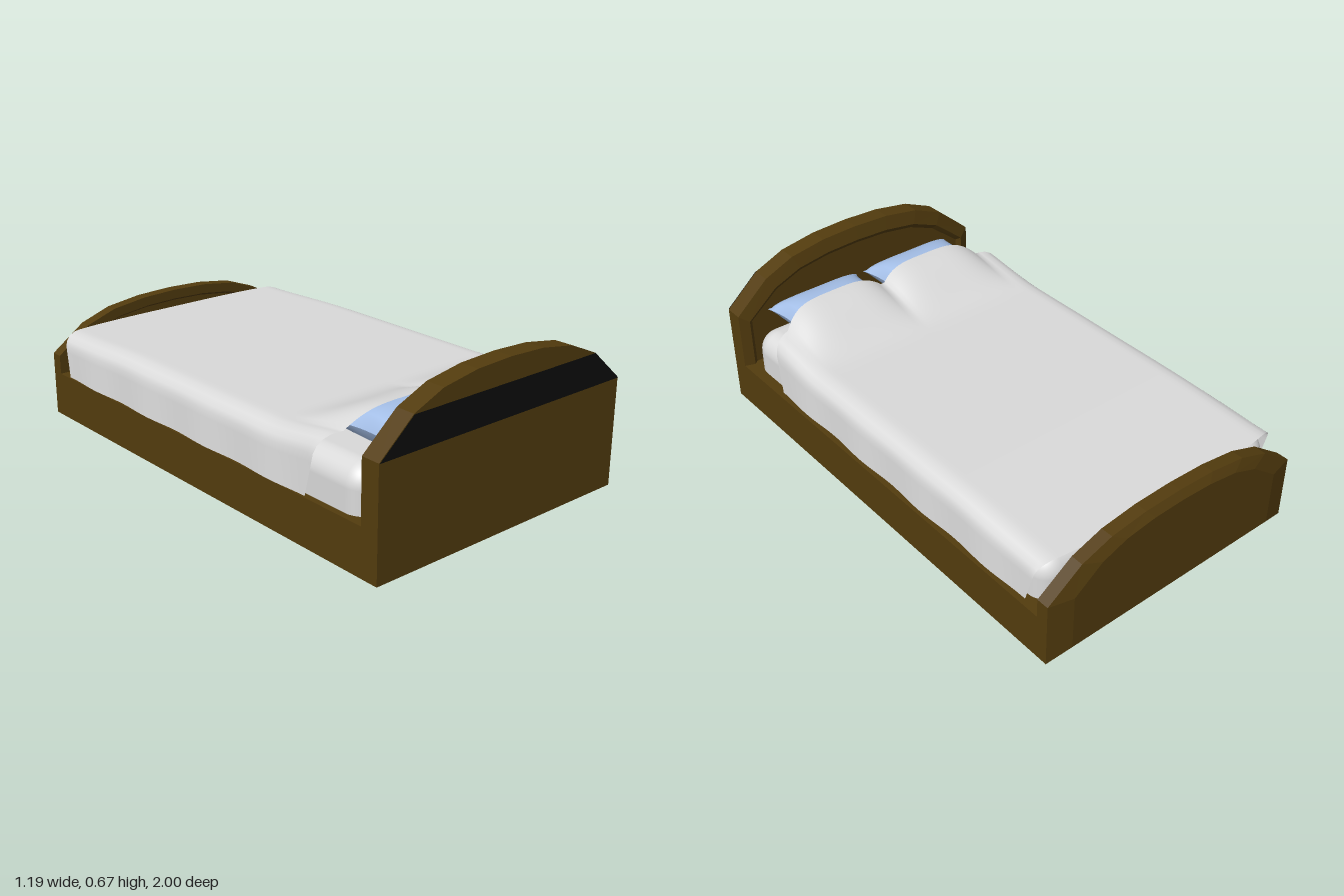
import * as THREE from 'three';
import { RoundedBoxGeometry } from 'three/addons/geometries/RoundedBoxGeometry.js';

const CX = 0.01; // centre line of the bed frame

const makeMaterial = (name, color, side = THREE.FrontSide) => {
  const m = new THREE.MeshStandardMaterial({ color, side });
  m.name = name;
  return m;
};

// Arched outline, counter-clockwise; height runs 0..1, shoulder = height of the straight sides
function archOutline(shoulder) {
  const arch = [[0.59, 0], [0.445, 0.59], [0.315, 0.85], [0.16, 0.97]]
    .map(([x, k]) => [x, shoulder + (1 - shoulder) * k]);
  const right = [[0.59, 0], ...arch];
  return [...right, [0, 1], ...right.slice().reverse().map(([x, y]) => [-x, y])];
}

// Faceted solid lofted through rings [z, width scale, bottom y, top y], in order of z
function archedBoard(outline, rings) {
  const n = outline.length, pos = [];
  const pts = rings.map(([z, k, y0, y1]) =>
    outline.map(([x, y]) => [CX + x * k, y0 + y * (y1 - y0), z]));
  const tri = (...v) => v.forEach((p) => pos.push(...p));
  for (let r = 0; r < pts.length - 1; r++) {
    for (let j = 0; j < n; j++) {
      const k = (j + 1) % n;
      const a = pts[r][j], b = pts[r][k], c = pts[r + 1][k], d = pts[r + 1][j];
      tri(a, b, c);
      tri(a, c, d);
    }
  }
  const first = pts[0], last = pts[pts.length - 1];
  for (let j = 1; j < n - 1; j++) {
    tri(first[0], first[j + 1], first[j]);
    tri(last[0], last[j], last[j + 1]);
  }
  const g = new THREE.BufferGeometry();
  g.setAttribute('position', new THREE.Float32BufferAttribute(pos, 3));
  g.computeVertexNormals();
  return g;
}

// Smooth grid surface; fn(u, v) returns [x, y, z] with u and v in 0..1
function gridSurface(nu, nv, fn) {
  const pos = [], index = [];
  for (let j = 0; j <= nv; j++) {
    for (let i = 0; i <= nu; i++) {
      pos.push(...fn(i / nu, j / nv));
      if (i < nu && j < nv) {
        const a = j * (nu + 1) + i, b = a + nu + 1;
        index.push(a, b, a + 1, a + 1, b, b + 1);
      }
    }
  }
  const g = new THREE.BufferGeometry();
  g.setAttribute('position', new THREE.Float32BufferAttribute(pos, 3));
  g.setIndex(index);
  g.computeVertexNormals();
  return g;
}

// Blanket: flat top, rounded shoulders, hanging sides, raised over both pillows
function blanketPoint(u, v) {
  const s = u * 2 - 1, t = Math.abs(s), sign = Math.sign(s);
  let x = (t / 0.76) * 0.5, drop = 0;
  if (t > 0.76) {
    const a = (t - 0.76) / 0.24;
    const angle = Math.min(a / 0.45, 1) * Math.PI / 2;
    const hang = Math.max(0, (a - 0.45) / 0.55);
    x = 0.5 + 0.075 * Math.sin(angle) + 0.01 * hang;
    drop = 0.06 * (1 - Math.cos(angle)) + 0.13 * hang;
  }
  x *= sign;
  const fall = drop / 0.19;
  const across = Math.min(1, Math.abs(Math.abs(x - CX) - 0.235) / 0.25);
  const puff = 1 - across ** 4;
  const head = 0.73 + 0.03 * puff - 0.04 * Math.abs(x / 0.58) ** 6 - 0.04 * fall;
  const foot = -0.925 + 0.035 * (x / 0.58) ** 4 + 0.04 * fall;
  const z = foot + (head - foot) * v;
  const rise = 0.11 * THREE.MathUtils.smoothstep(z, 0.4, 0.78) * (0.35 + 0.65 * puff);
  const sag = 0.015 * THREE.MathUtils.smoothstep(-z, 0.4, 0.92);
  const ripple = 0.004 * Math.sin(z * 17) * fall;
  return [x + ripple * sign, 0.412 - drop + (rise - sag) * (1 - fall), z];
}

// Pillow half: cushion with pinched sides, side = 1 for the top, -1 for the bottom
function pillowHalf(side) {
  return gridSurface(24, 18, (u, v) => {
    const a = (u * 2 - 1) * side, b = v * 2 - 1;
    const h = 0.066 * Math.sqrt(Math.max(0, (1 - a ** 4) * (1 - b * b)));
    return [a * (0.22 - 0.025 * (1 - b * b)), h * side, b * (0.14 - 0.01 * (1 - a * a))];
  });
}

export function createModel() {
  const bed = new THREE.Group();
  bed.name = 'bed';
  const wood = makeMaterial('dark wood', 0x533c0e);
  const black = makeMaterial('black', 0x0c0c0c, THREE.DoubleSide);
  const cloth = makeMaterial('white cloth', 0xdadada, THREE.DoubleSide);
  const blue = makeMaterial('pale blue', 0xa6c1ea, THREE.DoubleSide);

  const add = (name, geometry, material, x = 0, y = 0, z = 0, parent = bed) => {
    const mesh = new THREE.Mesh(geometry, material);
    mesh.name = name;
    mesh.position.set(x, y, z);
    parent.add(mesh);
    return mesh;
  };

  // Frame
  add('bedBase', new THREE.BoxGeometry(1.18, 0.185, 1.92), wood, CX, 0.1225, 0.01);
  add('headboard', archedBoard(archOutline(0.667), [
    [0.92, 0.9, 0.06, 0.59], [0.905, 0.93, 0.05, 0.61],
    [0.92, 1, 0.03, 0.668], [0.997, 1, 0.03, 0.668],
  ]), wood);
  add('footboard', archedBoard(archOutline(0.6), [
    [-1, 0.83, 0.06, 0.44], [-0.98, 1, 0.03, 0.47], [-0.93, 1, 0.03, 0.47],
    [-0.93, 0.92, 0.05, 0.43], [-0.945, 0.9, 0.06, 0.42],
  ]), wood);

  // Black band on the outside of the headboard
  const band = new THREE.Shape([[-0.59, 0.455], [0.59, 0.455], [0.445, 0.58], [-0.445, 0.58]]
    .map(([x, y]) => new THREE.Vector2(x, y)));
  add('headboardBand', new THREE.ShapeGeometry(band), black, CX, 0, 1);

  // Feet
  for (const x of [-0.53, 0.55]) {
    for (const z of [-0.915, 0.935]) {
      add('foot', new THREE.CylinderGeometry(0.016, 0.01, 0.032, 12), cloth, x, 0.016, z);
    }
  }

  // Bedding
  add('mattress', new RoundedBoxGeometry(1.11, 0.29, 1.815, 6, 0.085), cloth, 0, 0.243, -0.006);
  add('blanket', gridSurface(72, 60, blanketPoint), cloth);
  for (const x of [-0.225, 0.25]) {
    const pillow = new THREE.Group();
    pillow.name = 'pillow';
    pillow.position.set(x, 0.448, 0.768);
    add('pillowTop', pillowHalf(1), blue, 0, 0, 0, pillow);
    add('pillowBottom', pillowHalf(-1), blue, 0, 0, 0, pillow);
    bed.add(pillow);
  }
  return bed;
}
